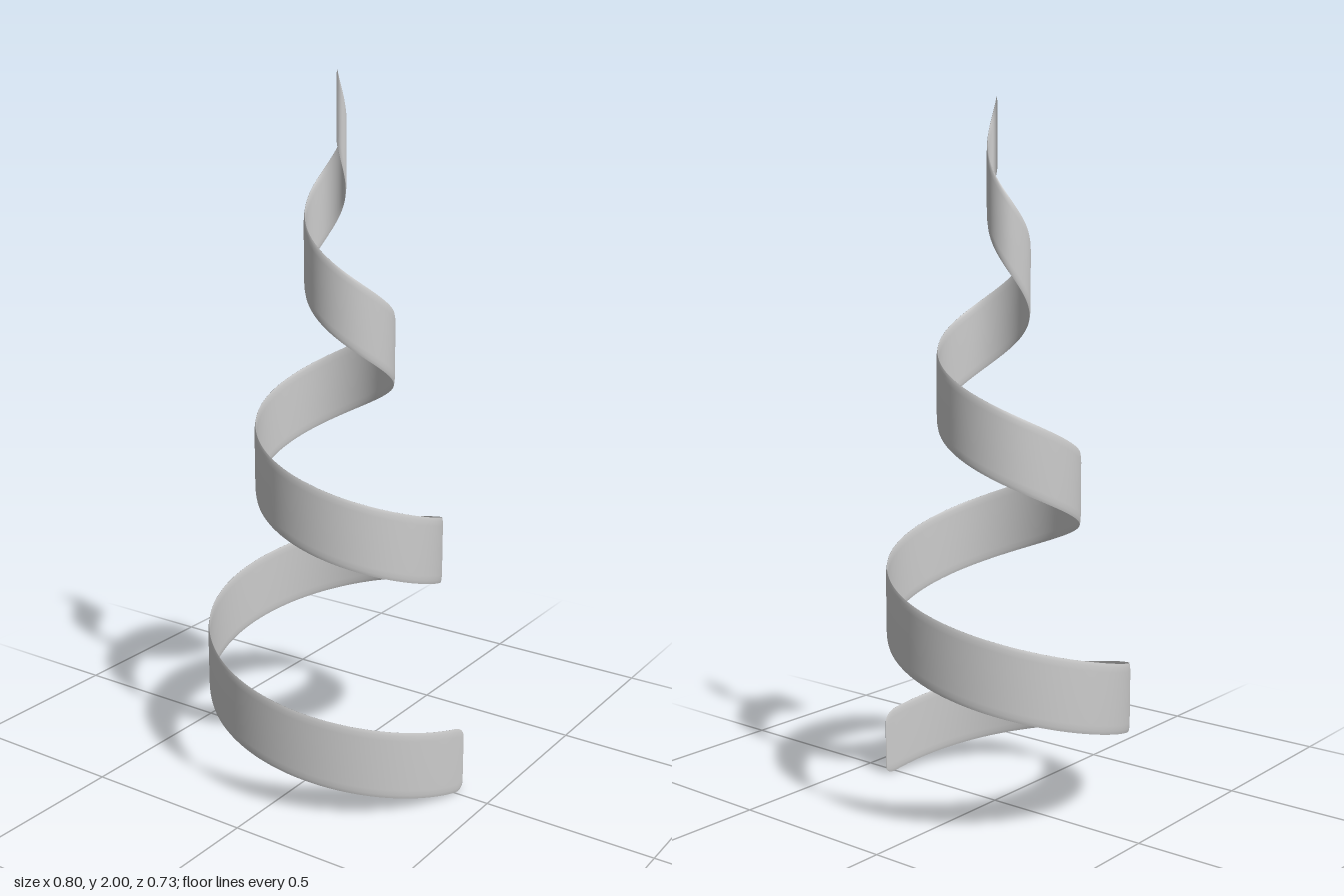
import * as THREE from 'three';

const TURNS = 3, RADIUS = 0.434, RISE = 1.805, BASE = 0.095;
const HALF_HEIGHT = 0.1, HALF_THICK = 0.003;
const CENTRE_X = -0.036, CENTRE_Z = -0.037;

// Thin upright cross-section with softened long edges: [radial, vertical], counter-clockwise
const SECTION = [
  [1, -0.75], [1, 0], [1, 0.75], [0.75, 0.9], [0.15, 1],
  [-0.15, 1], [-0.75, 0.9], [-1, 0.75], [-1, 0], [-1, -0.75],
  [-0.75, -0.9], [-0.15, -1], [0.15, -1], [0.75, -0.9],
];

// Sweep the section down an Archimedean spiral that climbs to its centre
function ribbonGeometry() {
  const taperEnd = 0.005, steps = [];
  for (let i = 0; i < 10; i++) steps.push(taperEnd * (i / 10) ** 2);
  for (let i = 0; i <= 400; i++) steps.push(taperEnd + (1 - taperEnd) * i / 400);

  const positions = [], index = [], n = SECTION.length;
  for (const t of steps) {
    const angle = t * TURNS * Math.PI * 2;
    const radius = RADIUS * (1 - t);
    // rounded, thinned lower end
    const k = Math.min(1, t / taperEnd);
    const round = Math.sqrt(1 - (1 - k) ** 2);
    const h = HALF_HEIGHT * (0.72 + 0.28 * round);
    const w = HALF_THICK * (0.25 + 0.75 * round);
    for (const [u, v] of SECTION) {
      const r = radius + u * w;
      positions.push(
        CENTRE_X + r * Math.cos(angle),
        BASE + RISE * t + v * h,
        CENTRE_Z + r * Math.sin(angle),
      );
    }
  }
  for (let i = 0; i < steps.length - 1; i++) {
    for (let j = 0; j < n; j++) {
      const a = i * n + j, b = i * n + (j + 1) % n;
      index.push(a, b, a + n, b, b + n, a + n);
    }
  }
  // end caps
  const last = (steps.length - 1) * n;
  for (let j = 1; j < n - 1; j++) {
    index.push(0, j + 1, j, last, last + j, last + j + 1);
  }
  const geometry = new THREE.BufferGeometry();
  geometry.setAttribute('position', new THREE.Float32BufferAttribute(positions, 3));
  geometry.setIndex(index);
  geometry.computeVertexNormals();
  return geometry;
}

export function createModel() {
  const group = new THREE.Group();
  group.name = 'spiralOrnament';
  const material = new THREE.MeshStandardMaterial({ color: 0xcccccc, side: THREE.DoubleSide });
  const ribbon = new THREE.Mesh(ribbonGeometry(), material);
  ribbon.name = 'spiralRibbon';
  group.add(ribbon);
  return group;
}
